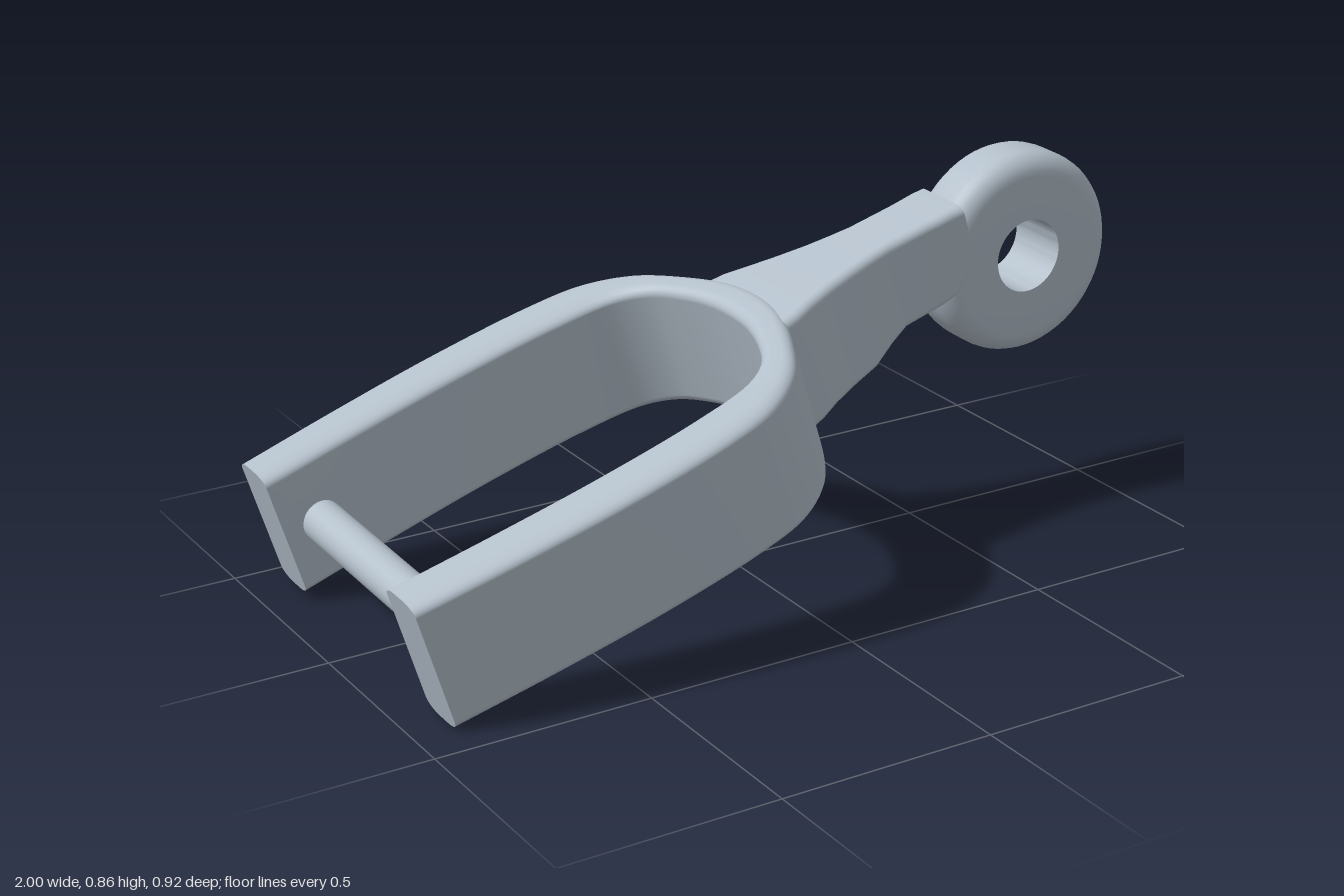
import * as THREE from 'three';
import { toCreasedNormals } from 'three/addons/utils/BufferGeometryUtils.js';

// Rounded rectangle loop: centre (0,0), half sizes, elliptical corner radii
function roundedLoop(ha, hb, ra, rb, steps = 6) {
  const pts = [];
  [[1, 1], [-1, 1], [-1, -1], [1, -1]].forEach(([sa, sb], q) => {
    for (let i = 0; i <= steps; i++) {
      const t = (q + i / steps) * Math.PI / 2;
      pts.push([sa * (ha - ra) + ra * Math.cos(t), sb * (hb - rb) + rb * Math.sin(t)]);
    }
  });
  return pts;
}

// Skin over equal-length loops of points, with flat end caps
function loft(loops) {
  const pos = [], index = [], n = loops[0].length;
  loops.forEach(l => l.forEach(p => pos.push(...p)));
  for (let i = 0; i < loops.length - 1; i++) {
    for (let j = 0; j < n; j++) {
      const k = (j + 1) % n, a = i * n, b = a + n;
      index.push(a + j, a + k, b + k, a + j, b + k, b + j);
    }
  }
  [loops[0], loops[loops.length - 1]].forEach((l, end) => {
    const base = pos.length / 3;
    l.forEach(p => pos.push(...p));
    for (let j = 1; j < n - 1; j++) {
      index.push(base, base + (end ? j : j + 1), base + (end ? j + 1 : j));
    }
  });
  const g = new THREE.BufferGeometry();
  g.setAttribute('position', new THREE.Float32BufferAttribute(pos, 3));
  g.setIndex(index);
  g.computeVertexNormals();
  return g;
}

// Half outline (x, z) mirrored across z = 0 and smoothed
function mirroredCurve(half) {
  const all = [...half, ...half.slice(0, -1).reverse().map(([x, z]) => [x, -z])];
  return new THREE.CatmullRomCurve3(all.map(([x, z]) => new THREE.Vector3(x, 0, z)));
}

export function createModel() {
  const metal = new THREE.MeshStandardMaterial({ color: 0xb4c0cb });
  metal.name = 'blue grey metal';
  const model = new THREE.Group();
  model.name = 'forkedLink';
  const add = (name, geo) => {
    const m = new THREE.Mesh(geo, metal);
    m.name = name;
    model.add(m);
    return m;
  };

  // U-shaped fork swept between an inner and an outer outline
  const inner = mirroredCurve([[0, 0.297], [0.25, 0.312], [0.5, 0.32], [0.75, 0.312], [0.9, 0.287],
    [0.965, 0.24], [1.005, 0.165], [1.03, 0.08], [1.036, 0]]);
  const outer = mirroredCurve([[0, 0.428], [0.25, 0.447], [0.5, 0.457], [0.75, 0.447], [0.88, 0.42],
    [0.985, 0.345], [1.065, 0.215], [1.11, 0.1], [1.122, 0]]);
  const height = 0.314, forkLoops = [];
  const section = roundedLoop(height / 2, 0.5, 0.024, 0.36);
  for (let i = 0; i <= 96; i++) {
    const a = inner.getPoint(i / 96), b = outer.getPoint(i / 96);
    forkLoops.push(section.map(([v, s]) => {
      const p = a.clone().lerp(b, s + 0.5);
      return [p.x, v + height / 2, p.z];
    }));
  }
  add('fork', loft(forkLoops));

  // Neck: flared at the fork, stepped underneath; [x, bottom, top, half width]
  const neck = [[1.06, 0.02, 0.306, 0.168], [1.12, 0.028, 0.308, 0.158], [1.17, 0.034, 0.308, 0.14],
    [1.24, 0.037, 0.307, 0.118], [1.31, 0.04, 0.305, 0.101], [1.37, 0.066, 0.304, 0.09],
    [1.42, 0.083, 0.303, 0.083], [1.53, 0.083, 0.301, 0.082], [1.565, 0.09, 0.3, 0.084],
    [1.6, 0.12, 0.3, 0.085], [1.63, 0.18, 0.298, 0.085]];
  add('neck', loft(neck.map(([x, lo, hi, w]) =>
    roundedLoop((hi - lo) / 2, w, 0.02, 0.022).map(([v, z]) => [x, v + (lo + hi) / 2, z]))));

  // Eye ring with rounded rim and a bored hole
  const R = 0.241, H = 0.081, r = 0.05, hole = 0.087, profile = [];
  const arc = (cx, cy, rad, from) => {
    for (let i = 0; i <= 6; i++) {
      const t = from + i / 6 * Math.PI / 2;
      profile.push(new THREE.Vector2(cx + rad * Math.cos(t), cy + rad * Math.sin(t)));
    }
  };
  arc(R - r, -H + r, r, -Math.PI / 2);
  arc(R - r, H - r, r, 0);
  profile.push(new THREE.Vector2(hole, H), new THREE.Vector2(hole, -H), profile[0].clone());
  const ring = add('eyeRing', toCreasedNormals(new THREE.LatheGeometry(profile, 64), 0.6));
  ring.rotation.x = Math.PI / 2;
  ring.position.set(1.772, 0.094, 0);

  // Cross pin between the fork ends
  const pin = add('crossPin', new THREE.CylinderGeometry(0.048, 0.048, 0.64, 32));
  pin.rotation.x = Math.PI / 2;
  pin.position.set(0.093, 0.149, 0);

  // Lean the whole link upward toward the eye
  model.rotation.set(0.02, 0, 0.301);
  model.position.set(-0.908, 0.007, -0.005);
  const root = new THREE.Group();
  root.name = 'model';
  root.add(model);
  return root;
}
